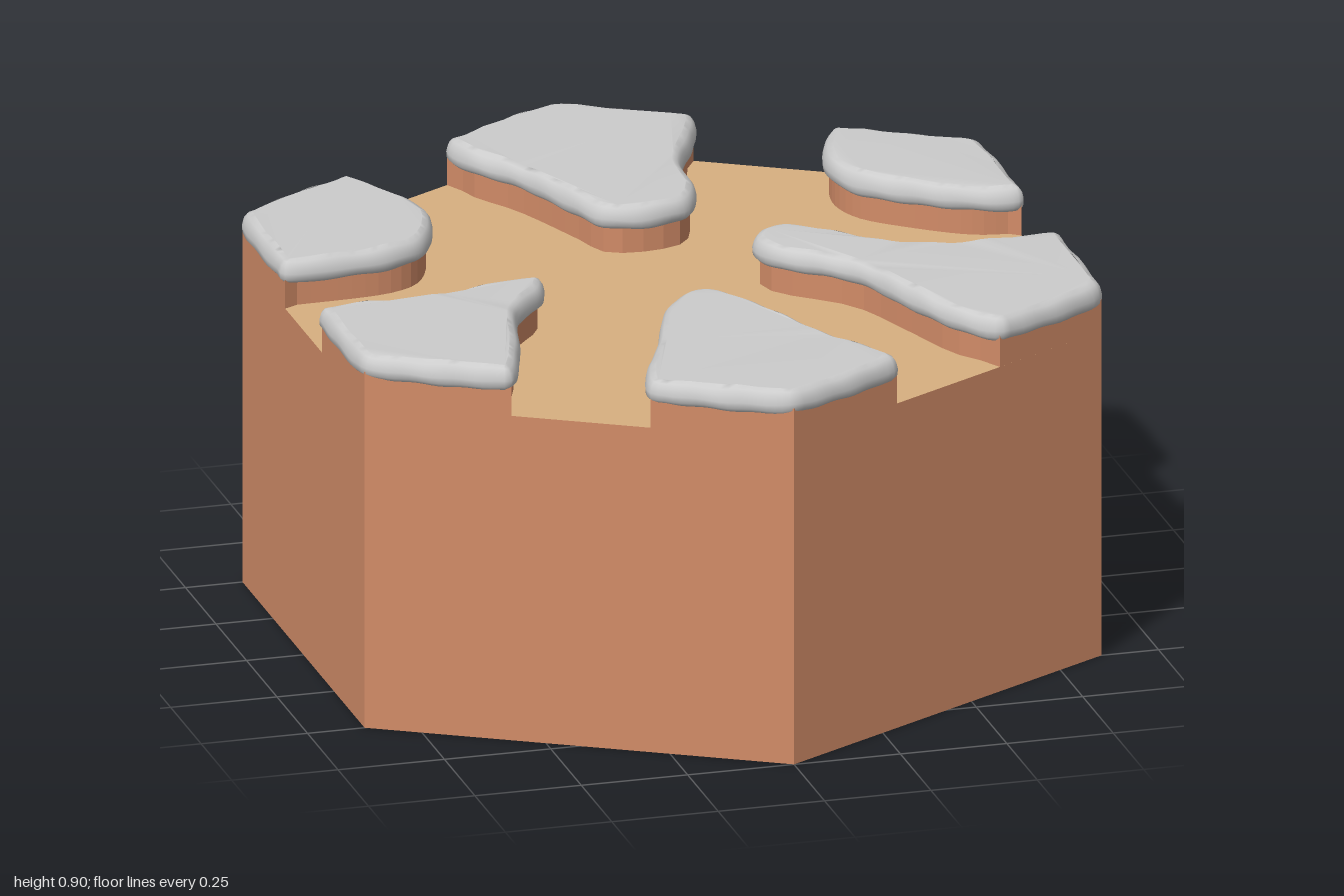
import * as THREE from 'three';

const dirt = new THREE.MeshStandardMaterial({ color: 0xd28c68, flatShading: true });
const sand = new THREE.MeshStandardMaterial({ color: 0xd8b080 });
const stone = new THREE.MeshStandardMaterial({ color: 0xcccccc });

const FLOOR = 0.78; // height of the sunken paths
const S = Math.sqrt(3) / 2;

// Each island: its hexagon corner, then its inner edge from one hexagon side to the other, as [x, z]
const islands = [
  { name: 'back', corner: [0, -1], edge: [[0.29, -0.833], [0.26, -0.73], [0.185, -0.56], [0.17, -0.39], [0.12, -0.3],
    [0, -0.273], [-0.08, -0.3], [-0.12, -0.41], [-0.2, -0.62], [-0.27, -0.74], [-0.29, -0.833]] },
  { name: 'backLeft', corner: [S, -0.5], edge: [[S, -0.155], [0.76, -0.175], [0.62, -0.27], [0.53, -0.36],
    [0.5, -0.46], [0.52, -0.58], [0.57, -0.671]] },
  { name: 'frontLeft', corner: [S, 0.5], edge: [[0.58, 0.665], [0.5, 0.57], [0.43, 0.38], [0.36, 0.2], [0.21, 0.05],
    [0.2, -0.04], [0.27, -0.1], [0.35, -0.06], [0.51, 0.09], [0.64, 0.125], [S, 0.14]] },
  { name: 'front', corner: [0, 1], edge: [[-0.29, 0.833], [-0.275, 0.74], [-0.2, 0.57], [-0.11, 0.34], [-0.03, 0.27],
    [0.03, 0.28], [0.08, 0.36], [0.19, 0.62], [0.27, 0.75], [0.29, 0.833]] },
  { name: 'frontRight', corner: [-S, 0.5], edge: [[-S, 0.15], [-0.6, 0.135], [-0.42, 0.09], [-0.335, 0.095],
    [-0.345, 0.15], [-0.44, 0.28], [-0.5, 0.5], [-0.57, 0.671]] },
  { name: 'backRight', corner: [-S, -0.5], edge: [[-0.57, -0.671], [-0.53, -0.6], [-0.46, -0.45], [-0.46, -0.36],
    [-0.52, -0.22], [-0.6, -0.17], [-S, -0.15]] },
];

const smooth = (pts, n, closed) => {
  const c = new THREE.CatmullRomCurve3(pts.map(p => new THREE.Vector3(p.x, p.y, 0)), closed, 'centripetal');
  const out = c.getSpacedPoints(n).map(p => new THREE.Vector2(p.x, p.y));
  if (closed) out.pop();
  return out;
};

// Moves a counter-clockwise loop inwards by d
const inset = (loop, d) => loop.map((p, i) => {
  const a = loop[(i + loop.length - 1) % loop.length], b = loop[(i + 1) % loop.length];
  const t = b.clone().sub(a).normalize();
  return new THREE.Vector2(p.x - t.y * d, p.y + t.x * d);
});

// Straight-sided earth under a cap, flush with the hexagon sides and tucked in along the paths
function earthGeometry(corner, edge) {
  const curve = smooth(edge, 26, false);
  const loop = [corner, ...curve];
  const tucked = inset(loop, 0.015);
  const outline = loop.map((p, i) => (i < 2 || i === loop.length - 1 ? p : tucked[i]));
  const geo = new THREE.ExtrudeGeometry(new THREE.Shape(outline), { depth: 0.075, bevelEnabled: false });
  return geo.rotateX(-Math.PI / 2).translate(0, FLOOR, 0);
}

// Soft, slightly lumpy slab made of stacked insets of one rounded outline
function capGeometry(corner, edge) {
  const first = edge[0], last = edge[edge.length - 1];
  const out = (p, k) => p.clone().multiplyScalar(k);
  const outline = [
    ...edge.slice(1, -1),
    out(last, 1.004), out(last.clone().lerp(corner, 0.12), 1.01), out(last.clone().lerp(corner, 0.85), 1.01),
    corner,
    out(first.clone().lerp(corner, 0.85), 1.01), out(first.clone().lerp(corner, 0.12), 1.01), out(first, 1.004),
  ];
  const n = 110;
  const base = smooth(outline, n, true);
  const profile = [[0.03, 0.842], [0.01, 0.839], [0.001, 0.848], [0, 0.862], [0.004, 0.878], [0.012, 0.889], [0.024, 0.895]];
  const pos = [], idx = [];
  let top;
  profile.forEach(([d, y], k) => {
    top = inset(base, d);
    top.forEach(p => {
      const lump = Math.sin(p.x * 43 + k * 0.5) * Math.sin(p.y * 37 + 1);
      pos.push(p.x, y + 0.003 * lump, -p.y);
    });
    if (k === 0) return;
    for (let i = 0; i < n; i++) {
      const j = (i + 1) % n, a = (k - 1) * n, b = k * n;
      idx.push(a + i, a + j, b + j, a + i, b + j, b + i);
    }
  });
  const start = (profile.length - 1) * n;
  THREE.ShapeUtils.triangulateShape(top, []).forEach(f => idx.push(...f.map(v => v + start)));
  THREE.ShapeUtils.triangulateShape(inset(base, 0.03), []).forEach(f => idx.push(f[2], f[1], f[0]));
  const geo = new THREE.BufferGeometry();
  geo.setAttribute('position', new THREE.Float32BufferAttribute(pos, 3));
  geo.setIndex(idx);
  geo.computeVertexNormals();
  return geo;
}

export function createModel() {
  const model = new THREE.Group();
  model.name = 'hexTile';

  // Hexagonal block with the sandy path floor on top
  const block = new THREE.Mesh(new THREE.CylinderGeometry(1, 1, FLOOR, 6), [dirt, sand, dirt]);
  block.position.y = FLOOR / 2;
  block.name = 'hexBlock';
  model.add(block);

  // Six raised islands around the crossing paths
  for (const { name, corner, edge } of islands) {
    const flip = ([x, z]) => new THREE.Vector2(x, -z);
    const c = flip(corner);
    let e = edge.map(flip);
    if (THREE.ShapeUtils.area([c, ...e]) < 0) e = e.reverse();
    const island = new THREE.Group();
    island.name = name + 'Island';
    const earth = new THREE.Mesh(earthGeometry(c, e), dirt);
    earth.name = 'earth';
    const cap = new THREE.Mesh(capGeometry(c, e), stone);
    cap.name = 'stoneCap';
    island.add(earth, cap);
    model.add(island);
  }
  return model;
}
